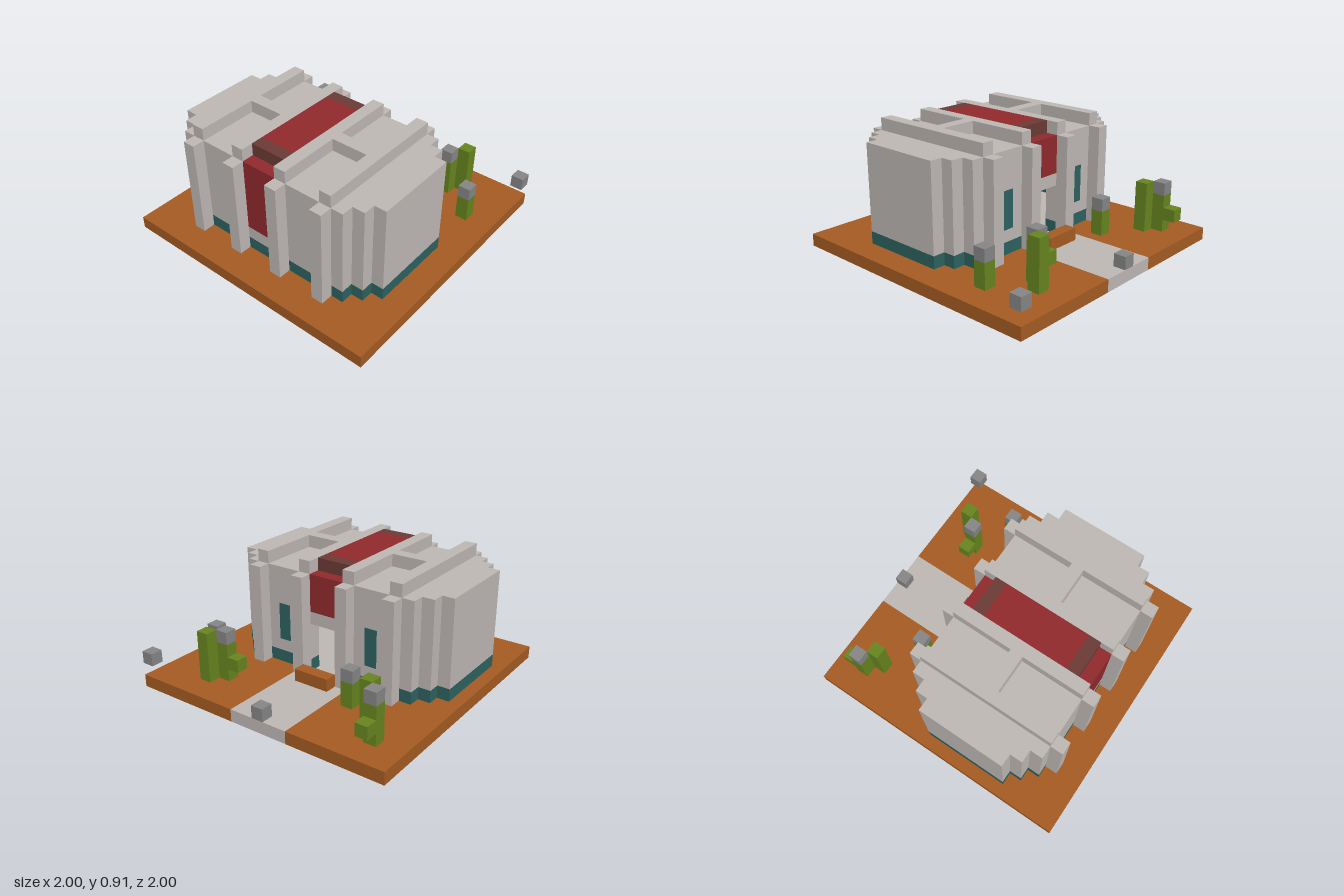
import * as THREE from 'three';

const U = 1 / 11; // one block; the plot is 22 x 22 blocks

const mat = (name, color) => {
  const m = new THREE.MeshStandardMaterial({ color });
  m.name = name;
  return m;
};

export function createModel() {
  const model = new THREE.Group();
  model.name = 'desertBuilding';
  const wall = mat('pale grey wall', 0xc0bab6);
  const earth = mat('orange earth', 0xa65c22);
  const red = mat('red panel', 0x922a2d);
  const brown = mat('dark brown trim', 0x6c3b36);
  const teal = mat('teal', 0x2d6361);
  const green = mat('cactus green', 0x68861f);
  const stone = mat('stone grey', 0x878787);

  const group = (name) => {
    const g = new THREE.Group();
    g.name = name;
    model.add(g);
    return g;
  };

  // Box between block coordinates (i, j, k) = (x, y, z)
  const box = (parent, name, m, i0, i1, j0, j1, k0, k1) => {
    const geo = new THREE.BoxGeometry((i1 - i0) * U, (j1 - j0) * U, (k1 - k0) * U);
    const mesh = new THREE.Mesh(geo, m);
    mesh.name = name;
    mesh.position.set((i0 + i1) / 2 * U - 1, (j0 + j1) / 2 * U, (k0 + k1) / 2 * U - 1);
    parent.add(mesh);
  };

  // Upright prism from a floor plan in block coordinates
  const prism = (parent, name, m, plan, j0, j1) => {
    const shape = new THREE.Shape(plan.map(([i, k]) => new THREE.Vector2(i * U - 1, 1 - k * U)));
    const geo = new THREE.ExtrudeGeometry(shape, { depth: (j1 - j0) * U, bevelEnabled: false });
    geo.rotateX(-Math.PI / 2);
    const mesh = new THREE.Mesh(geo, m);
    mesh.name = name;
    mesh.position.y = j0 * U;
    parent.add(mesh);
  };

  // Ground slab around the path and the recessed floor
  const ground = group('ground');
  for (const [i0, i1, k0, k1] of [
    [0, 8, 0, 7], [13, 22, 0, 7], [0, 9, 7, 9], [12, 22, 7, 9],
    [0, 2, 9, 18], [19, 22, 9, 18], [0, 22, 18, 22],
  ]) box(ground, 'earth', earth, i0, i1, 0, 1, k0, k1);
  box(ground, 'path', wall, 8, 13, 0, 1, 0, 7);
  box(ground, 'threshold', wall, 9, 12, 0, 1, 7, 9);
  box(ground, 'floor', wall, 2, 19, 0.9, 1, 9, 17);
  box(ground, 'floorEdge', wall, 2, 19, 0, 1, 17, 18);
  box(ground, 'doorStep', earth, 9, 12, 1, 2, 6, 7);

  // Two mirrored wings with stepped corners
  const outer = [[12, 8], [18, 8], [18, 9], [19, 9], [19, 10], [20, 10],
    [20, 17], [19, 17], [19, 18], [18, 18], [18, 19], [12, 19]];
  const inner = [[12, 18], [17, 18], [17, 17], [18, 17], [18, 16], [19, 16],
    [19, 11], [18, 11], [18, 10], [17, 10], [17, 9], [12, 9]];
  for (const side of ['left', 'right']) {
    const wing = group(side + 'Wing');
    const flip = (i) => (side === 'left' ? i : 21 - i);
    const plan = (pts) => pts.map(([i, k]) => [flip(i), k]);
    const sideBox = (name, m, i0, i1, ...rest) => {
      const [a, b] = [flip(i0), flip(i1)].sort((p, q) => p - q);
      box(wing, name, m, a, b, ...rest);
    };
    prism(wing, 'plinth', teal, plan([...outer, ...inner]), 1, 2);
    prism(wing, 'walls', wall, plan([...outer, ...inner]), 2, 8);
    prism(wing, 'roof', wall, plan(outer), 8, 9);
    for (const i of [12, 16]) {
      sideBox('roofRib', wall, i, i + 1, 9, 10, 8, 19);
      sideBox('frontPillar', wall, i, i + 1, 1, 9, 19, 20);
      sideBox('backPillar', wall, i, i + 1, 1, 9, 7, 8);
    }
    sideBox('roofCrossbeam', wall, 13, 16, 9, 10, 13, 14);
    sideBox('backWindow', teal, 14, 15, 3, 6, 7.94, 8.02);
  }

  // Central bay with the red band running over the roof
  const bay = group('centralBay');
  box(bay, 'frontPlinth', teal, 9, 12, 1, 2, 18, 19);
  box(bay, 'frontSill', wall, 9, 12, 2, 3, 18, 19);
  box(bay, 'frontPanel', red, 9, 12, 3, 8, 18, 19);
  box(bay, 'doorLintel', wall, 9, 12, 5, 6, 8, 9);
  box(bay, 'backPanel', red, 9, 12, 6, 8, 8, 9);
  box(bay, 'roofBand', red, 9, 12, 8, 9, 8, 19);
  box(bay, 'raisedBand', red, 9, 12, 9, 10, 10, 17);
  box(bay, 'backTrim', brown, 9, 12, 9, 10, 9, 10);
  box(bay, 'frontTrim', brown, 9, 12, 9, 10, 17, 18);

  // Cacti: green stems [i, k, bottom, top], some with a grey cap
  const cacti = group('cacti');
  for (const [i, k, j0, j1, cap] of [
    [2, 2, 1, 4, true], [2, 1, 2, 3], [3, 3, 1, 5], [6, 5, 1, 3, true],
    [16, 3, 1, 4, true], [15, 3, 2, 3], [17, 2, 1, 5], [19, 5, 1, 3, true],
  ]) {
    box(cacti, 'cactusStem', green, i, i + 1, j0, j1, k, k + 1);
    if (cap) box(cacti, 'cactusCap', stone, i, i + 1, j1, j1 + 1, k, k + 1);
  }

  // Loose stone blocks
  const stones = group('stones');
  box(stones, 'pathStone', stone, 10, 11, 1, 2, 0, 1);
  box(stones, 'cornerStone', stone, 21, 22, 2, 3, 0, 1);

  return model;
}
